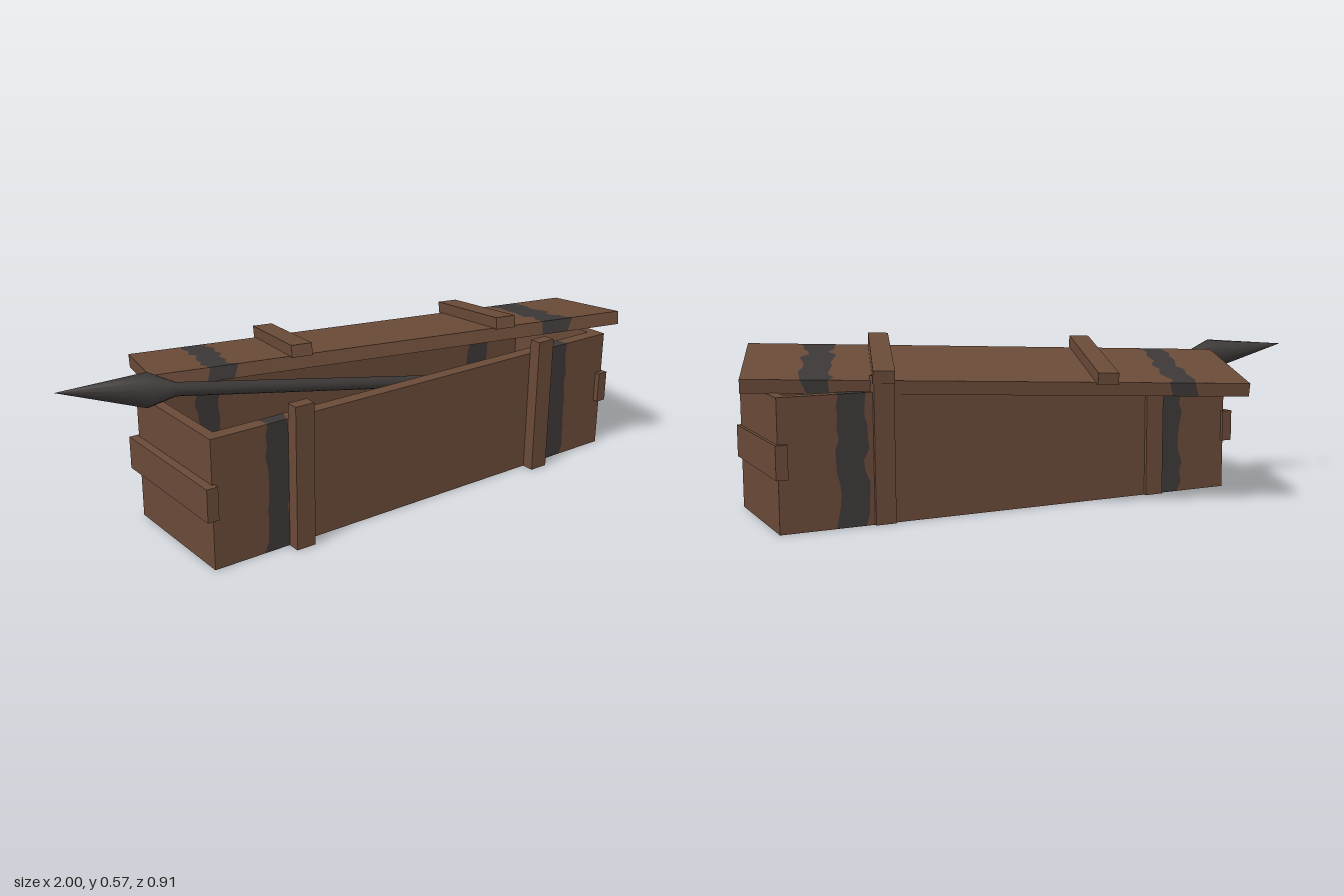
import * as THREE from 'three';

const wood = new THREE.MeshStandardMaterial({ color: 0x6a4a38, side: THREE.DoubleSide });
wood.name = 'brown wood';
const dark = new THREE.MeshStandardMaterial({ color: 0x3d3838, side: THREE.DoubleSide });
dark.name = 'dark iron';

let seed = 7;
const rand = () => (seed = (seed * 16807) % 2147483647) / 2147483647;

// Box given by its min and max corners
function box(name, [x0, y0, z0], [x1, y1, z1], parent) {
  const m = new THREE.Mesh(new THREE.BoxGeometry(x1 - x0, y1 - y0, z1 - z0), wood);
  m.position.set((x0 + x1) / 2, (y0 + y1) / 2, (z0 + z1) / 2);
  m.name = name;
  parent.add(m);
  return m;
}

// Sweeps a [z, y] profile along x, painting every second stretch dark with ragged borders
function bandedSweep(name, profile, xs, jag, parent) {
  const path = [];
  for (let i = 0; i < profile.length - 1; i++) {
    const [a, b] = [profile[i], profile[i + 1]];
    const n = Math.max(1, Math.round(Math.hypot(b[0] - a[0], b[1] - a[1]) / 0.035));
    for (let k = 0; k < n; k++) path.push([a[0] + (b[0] - a[0]) * k / n, a[1] + (b[1] - a[1]) * k / n]);
  }
  path.push(profile[profile.length - 1]);
  const rows = path.map(() => xs.map((x, i) =>
    i === 0 || i === xs.length - 1 ? x : x + (rand() - 0.5) * jag));
  const pos = [];
  const geo = new THREE.BufferGeometry();
  for (let s = 0; s < xs.length - 1; s++) {
    const start = pos.length / 3;
    for (let i = 0; i < path.length - 1; i++) {
      const p = (r, c) => [rows[r][c], path[r][1], path[r][0]];
      const [a, b, c, d] = [p(i, s), p(i, s + 1), p(i + 1, s + 1), p(i + 1, s)];
      pos.push(...a, ...b, ...c, ...a, ...c, ...d);
    }
    geo.addGroup(start, pos.length / 3 - start, s % 2);
  }
  geo.setAttribute('position', new THREE.Float32BufferAttribute(pos, 3));
  geo.computeVertexNormals();
  const m = new THREE.Mesh(geo, [wood, dark]);
  m.name = name;
  parent.add(m);
}

export function createModel() {
  const model = new THREE.Group();
  model.name = 'openCrate';

  // Crate: long walls, rims and raised floor in one sweep
  const crate = new THREE.Group();
  crate.name = 'crate';
  model.add(crate);
  const F = 0.345, B = -0.105, T = 0.035, H = 0.42, FLOOR = 0.085, L = -0.71, R = 0.92;
  bandedSweep('crateWallsAndFloor', [
    [F, 0], [F, H], [F - T - 0.01, H], [F - T - 0.01, FLOOR],
    [B + T + 0.01, FLOOR], [B + T + 0.01, H], [B, H], [B, 0],
  ], [L, -0.525, -0.44, 0.64, 0.735, R], 0.022, crate);

  // End panels, thin below the floor, with a grip board on each
  for (const [x, s] of [[L, 1], [R, -1]]) {
    const span = (w) => [Math.min(x, x + s * w), Math.max(x, x + s * w)];
    const [a, b] = span(T);
    box('endPanel', [a, FLOOR, B], [b, H, F], crate);
    const [c, d] = span(0.003);
    box('endSkirt', [c, 0, B], [d, FLOOR, F], crate);
  }
  box('gripBoard', [-0.738, 0.17, -0.117], [-0.7, 0.277, 0.363], crate);
  box('gripBoard', [0.892, 0.17, -0.117], [0.93, 0.277, 0.363], crate);

  // Upright posts on the front and back
  for (const x of [-0.445, 0.55]) {
    box('frontPost', [x, 0, 0.347], [x + 0.067, 0.47, 0.388], crate);
    box('backPost', [x, 0, -0.117], [x + 0.067, 0.47, -0.076], crate);
  }

  // Lid lying askew, its origin at the middle of the top face
  const lid = new THREE.Group();
  lid.name = 'lid';
  const u = new THREE.Vector3(0.953, 0.0276, 0.3).normalize();
  const v = new THREE.Vector3(-0.305, 0.17, 0.95);
  v.addScaledVector(u, -v.dot(u)).normalize();
  const n = new THREE.Vector3().crossVectors(v, u);
  lid.quaternion.setFromRotationMatrix(new THREE.Matrix4().makeBasis(u, n, v));
  lid.position.set(0.152, 0.48, -0.005);
  model.add(lid);
  const W = 0.222, D = -0.045, E = 0.815;
  bandedSweep('lidBoard', [[W, D], [W, 0], [-W, 0], [-W, D], [W, D]],
    [-E, -0.635, -0.55, 0.535, 0.625, E], 0.03, lid);
  for (const s of [-1, 1]) {
    const cap = new THREE.Mesh(new THREE.PlaneGeometry(2 * W, -D), wood);
    cap.rotation.y = s * Math.PI / 2;
    cap.position.set(s * E, D / 2, 0);
    cap.name = 'lidEnd';
    lid.add(cap);
  }
  for (const x of [-0.332, 0.378]) {
    box('lidBatten', [x - 0.034, -0.002, -0.247], [x + 0.034, 0.038, 0.243], lid);
  }

  // Pointed iron spike poking out of the crate
  const profile = [[0, 0], [0.055, 0.28], [0.022, 0.37], [0.019, 1.54], [0, 1.54]];
  const spike = new THREE.Mesh(
    new THREE.LatheGeometry(profile.map(([r, y]) => new THREE.Vector2(r, y)), 12), dark);
  spike.quaternion.setFromUnitVectors(new THREE.Vector3(0, 1, 0),
    new THREE.Vector3(1, -0.125, 0.215).normalize());
  spike.position.set(-1, 0.505, -0.05);
  spike.name = 'spike';
  model.add(spike);

  return model;
}
